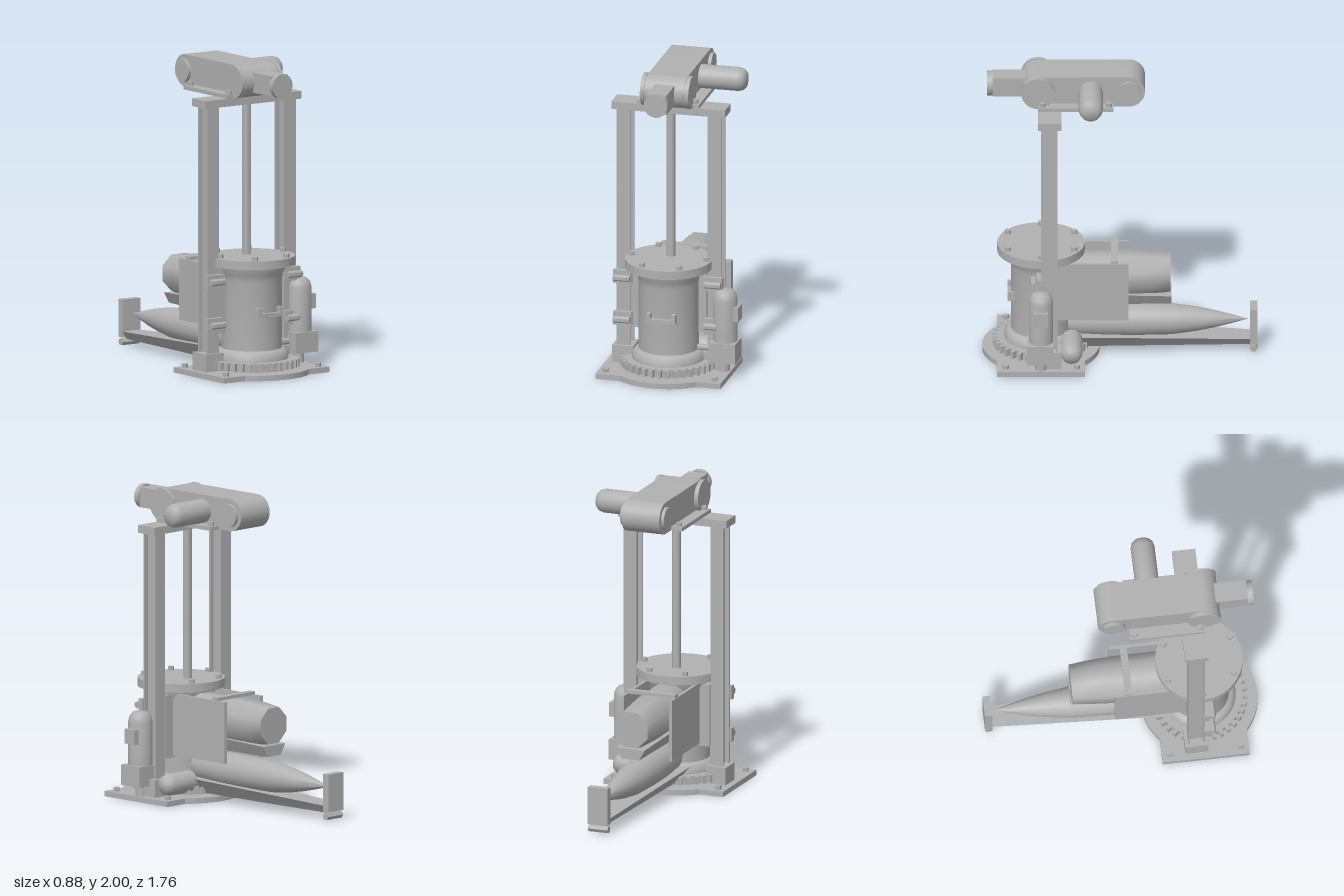
import * as THREE from 'three';
import { toCreasedNormals } from 'three/addons/utils/BufferGeometryUtils.js';

export function createModel() {
  const model = new THREE.Group();
  model.name = 'machine';
  const grey = new THREE.MeshStandardMaterial({ color: 0xb0b0b0 });
  grey.name = 'grey metal';
  const CX = -0.03, CZ = 0.505; // main vertical axis

  const add = (name, geo) => {
    const mesh = new THREE.Mesh(geo, grey);
    mesh.name = name;
    mesh.position.x = CX;
    model.add(mesh);
    return mesh;
  };
  // Box from its limits, x measured from the main axis
  const box = (name, x0, x1, y0, y1, z0, z1) =>
    add(name, new THREE.BoxGeometry(x1 - x0, y1 - y0, z1 - z0)
      .translate((x0 + x1) / 2, (y0 + y1) / 2, (z0 + z1) / 2));
  // Turned part: profile of [radius, distance] along an axis
  const turned = (name, profile, axis, x, y, z, sides = 32, turn = 0) => {
    const pts = profile.map(([r, d]) => new THREE.Vector2(r, d));
    let geo = new THREE.LatheGeometry(pts, sides).rotateY(turn);
    if (axis === 'x') geo.rotateZ(-Math.PI / 2);
    if (axis === 'z') geo.rotateX(Math.PI / 2);
    geo = toCreasedNormals(geo, 0.85);
    return add(name, geo.translate(x, y, z));
  };
  const rod = (name, r, from, to, axis, x, y, z, sides = 32) =>
    turned(name, [[0, from], [r, from], [r, to], [0, to]], axis, x, y, z, sides);
  const bolt = (x, y, z) => rod('bolt', 0.02, 0, 0.025, 'y', x, y, z, 6);
  // Tapered beam: each end gives [z, half top, half bottom, top y, bottom y]
  const beam = (name, a, b) => {
    const geo = new THREE.BoxGeometry(1, 1, 1);
    const p = geo.attributes.position;
    for (let i = 0; i < p.count; i++) {
      const [z, ht, hb, yt, yb] = p.getZ(i) > 0 ? a : b;
      const up = p.getY(i) > 0;
      p.setXYZ(i, Math.sign(p.getX(i)) * (up ? ht : hb), up ? yt : yb, z);
    }
    geo.computeVertexNormals();
    return add(name, geo);
  };

  // Base plate: rectangle with a bulging round front and back
  const R = 0.375, hw = 0.413, hd = 0.28, a = Math.asin(hd / R);
  const plate = new THREE.Shape();
  plate.moveTo(hw, -hd);
  plate.lineTo(hw, hd);
  plate.absarc(0, 0, R, a, Math.PI - a, false);
  plate.lineTo(-hw, hd);
  plate.lineTo(-hw, -hd);
  plate.absarc(0, 0, R, Math.PI + a, 2 * Math.PI - a, false);
  add('basePlate', new THREE.ExtrudeGeometry(plate, { depth: 0.035, bevelEnabled: false, curveSegments: 24 })
    .rotateX(-Math.PI / 2).translate(0, 0, CZ));
  for (const x of [-0.36, 0.36]) for (const z of [0.275, 0.73]) bolt(x, 0.035, z);

  // Ring gear
  const gear = new THREE.Shape();
  const teeth = 36, step = (Math.PI * 2) / teeth;
  for (let i = 0; i < teeth; i++) {
    for (const [r, t] of [[0.28, 0], [0.31, 0.08], [0.31, 0.48], [0.28, 0.56]]) {
      const x = r * Math.cos((i + t) * step), y = r * Math.sin((i + t) * step);
      if (i === 0 && t === 0) gear.moveTo(x, y); else gear.lineTo(x, y);
    }
  }
  add('ringGear', new THREE.ExtrudeGeometry(gear, { depth: 0.05, bevelEnabled: false })
    .rotateX(-Math.PI / 2).translate(0, 0.048, CZ));
  rod('gearHub', 0.25, 0.03, 0.06, 'y', 0, 0, CZ);

  // Main cylinder with flared ends and bolted lid
  turned('mainCylinder', [[0, 0.09], [0.235, 0.09], [0.235, 0.13], [0.215, 0.155], [0.193, 0.165],
    [0.193, 0.61], [0.2, 0.65], [0.225, 0.69], [0.225, 0.705], [0.28, 0.705], [0.28, 0.76], [0, 0.76]],
  'y', 0, 0, CZ, 40);
  for (let i = 0; i < 6; i++) {
    const t = (i * Math.PI) / 3;
    bolt(0.245 * Math.cos(t), 0.76, CZ + 0.245 * Math.sin(t));
  }
  box('handleBar', -0.095, 0.095, 0.383, 0.41, 0.69, 0.72);
  for (const s of [-1, 1]) {
    const x = 0.082 * s;
    box('handleArm', x - 0.013, x + 0.013, 0.383, 0.445, 0.66, 0.72);
  }

  // Lift columns, feet and guide rollers
  for (const s of [-1, 1]) {
    const x = s * 0.3;
    box('columnFoot', x - 0.07, x + 0.07, 0.035, 0.15, 0.375, 0.525);
    box('columnFrontFlange', x - 0.045, x + 0.045, 0.15, 1.74, 0.494, 0.505);
    box('columnBackFlange', x - 0.045, x + 0.045, 0.15, 1.74, 0.398, 0.409);
    box('columnWeb', x - 0.015, x + 0.015, 0.15, 1.74, 0.409, 0.494);
    for (const y of [0.615, 0.335]) {
      box('rollerBracket', x - 0.06, x + 0.06, y - 0.045, y + 0.045, 0.5, 0.535);
      rod('guideRoller', 0.022, -0.055, 0.055, 'x', x, y, 0.553, 16);
    }
  }
  box('crossbar', -0.375, 0.375, 1.74, 1.79, 0.375, 0.525);
  rod('liftRod', 0.029, 0.76, 1.74, 'y', 0, 0, 0.45, 20);

  // Cradle carried by the columns
  box('yoke', -0.245, 0.245, 0.27, 0.68, 0.405, 0.49);
  for (const s of [-1, 1]) {
    const x = 0.165 * s;
    box('cradlePlate', x - 0.01, x + 0.01, 0.285, 0.685, -0.055, 0.42);
  }
  box('cradleBar', -0.17, 0.17, 0.683, 0.705, 0.012, 0.058);

  // Rear barrel with support below
  turned('barrel', [[0, -0.322], [0.126, -0.322], [0.14, -0.2], [0.15, -0.055], [0.152, 0.35], [0, 0.35]],
    'z', 0, 0.545, 0, 8, Math.PI / 8);
  beam('barrelSupport', [0.4, 0.13, 0.08, 0.45, 0.35], [-0.328, 0.1, 0.06, 0.42, 0.35]);

  // Lower pointed tank on its tapered rail
  turned('pointedTank', [[0, -0.82], [0.03, -0.71], [0.057, -0.6], [0.08, -0.48], [0.1, -0.33],
    [0.109, -0.1], [0.11, 0.1], [0.1, 0.3], [0.075, 0.37], [0, 0.39]], 'z', 0, 0.212, 0, 24);
  beam('rail', [0.37, 0.15, 0.07, 0.15, 0.048], [-0.83, 0.07, 0.035, 0.1, 0.048]);
  box('railEndPlate', -0.068, 0.068, 0.06, 0.305, -0.88, -0.83);
  rod('railRoller', 0.024, -0.068, 0.068, 'x', 0, 0.03, -0.855, 6);

  // Small upright tank on its gearbox
  turned('uprightTank', [[0, 0.23], [0.078, 0.23], [0.078, 0.52], [0.07, 0.555], [0.048, 0.58], [0, 0.588]],
    'y', 0.373, 0, CZ, 24);
  box('tankTab', 0.43, 0.47, 0.38, 0.475, 0.46, 0.552);
  box('gearbox', 0.285, 0.46, 0.105, 0.238, 0.425, 0.593);
  rod('gearboxPinion', 0.037, 0.03, 0.11, 'y', 0.365, 0, CZ, 16);
  rod('gearboxPipe', 0.02, 0.15, 0.3, 'x', 0, 0.178, CZ, 12);

  // Low drive motor
  turned('driveMotor', [[0, 0.12], [0.07, 0.12], [0.07, 0.31], [0.062, 0.345], [0.04, 0.367], [0, 0.375]],
    'x', 0, 0.122, 0.31, 24);

  // Top drive: mounting plate, belt housing, hubs, nozzle and motor
  box('mountPlate', -0.205, 0.205, 1.79, 1.815, 0.04, 0.525);
  for (const x of [-0.172, 0.172]) for (const z of [0.07, 0.495]) bolt(x, 1.815, z);
  const arm = new THREE.Shape();
  arm.absarc(0.525, 1.895, 0.104, -Math.PI / 2, Math.PI / 2, false);
  arm.absarc(-0.055, 1.895, 0.104, Math.PI / 2, Math.PI * 1.5, false);
  add('beltHousing', toCreasedNormals(new THREE.ExtrudeGeometry(arm, { depth: 0.26, bevelEnabled: false, curveSegments: 20 })
    .rotateY(-Math.PI / 2).translate(0.13, 0, 0), 0.6));
  rod('frontHub', 0.1, -0.155, 0.155, 'x', 0, 1.895, 0.525);
  for (const s of [-1, 1]) rod('frontHubFlange', 0.106, -0.013, 0.013, 'x', s * 0.147, 1.895, 0.525);
  rod('rearHub', 0.075, -0.152, 0.152, 'x', 0, 1.895, -0.058);
  box('nozzleNeck', -0.065, 0.065, 1.83, 1.96, 0.56, 0.815);
  rod('nozzleCap', 0.079, 0.812, 0.85, 'z', 0, 1.895, 0, 16);
  turned('topMotor', [[0, 0.1], [0.077, 0.1], [0.077, 0.385], [0.068, 0.415], [0.05, 0.432], [0, 0.434]],
    'x', 0, 1.895, 0.187, 24);

  return model;
}
